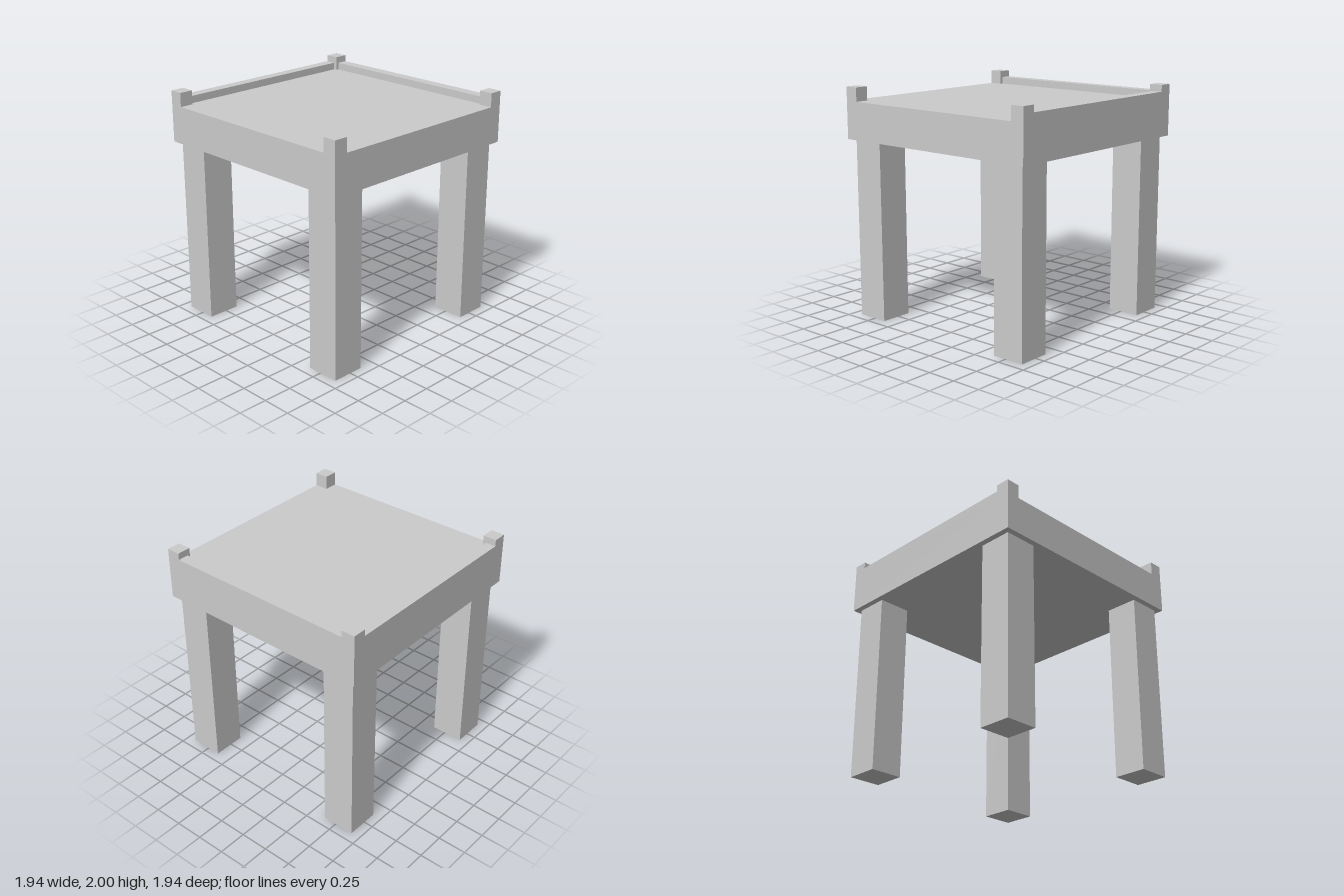
import * as THREE from 'three';

export function createModel() {
  const group = new THREE.Group();
  const material = new THREE.MeshStandardMaterial({ color: 0xcccccc, flatShading: true });

  // Box given by its minimum and maximum corners
  function addBox(name, [x0, y0, z0], [x1, y1, z1]) {
    const mesh = new THREE.Mesh(new THREE.BoxGeometry(x1 - x0, y1 - y0, z1 - z0), material);
    mesh.position.set((x0 + x1) / 2, (y0 + y1) / 2, (z0 + z1) / 2);
    mesh.name = name;
    group.add(mesh);
  }

  const half = 0.968;      // half width of the top
  const under = 1.555;     // underside of the top
  const surface = 1.88;    // upper face of the top
  const railTop = 1.943;
  const postInner = 0.848;

  // Thick square top
  addBox('tableTop', [-half, under, -half], [half, surface, half]);

  // Low rails along the back and the left edge, between the corner posts
  addBox('backRail', [-postInner, surface, -half], [postInner, railTop, -0.877]);
  addBox('leftRail', [0.873, surface, -postInner], [half, railTop, postInner]);

  // A leg and a raised post at each corner
  for (const [sx, xName] of [[1, 'Left'], [-1, 'Right']]) {
    for (const [sz, zName] of [[1, 'front'], [-1, 'back']]) {
      const span = (s, a, b) => (s > 0 ? [a, b] : [-b, -a]);
      const [lx0, lx1] = span(sx, 0.632, 0.918);
      const [lz0, lz1] = span(sz, 0.632, 0.918);
      addBox(`${zName}${xName}Leg`, [lx0, 0, lz0], [lx1, under, lz1]);

      const [px0, px1] = span(sx, postInner, half);
      const [pz0, pz1] = span(sz, postInner, half);
      addBox(`${zName}${xName}Post`, [px0, surface, pz0], [px1, 2, pz1]);
    }
  }

  return group;
}
